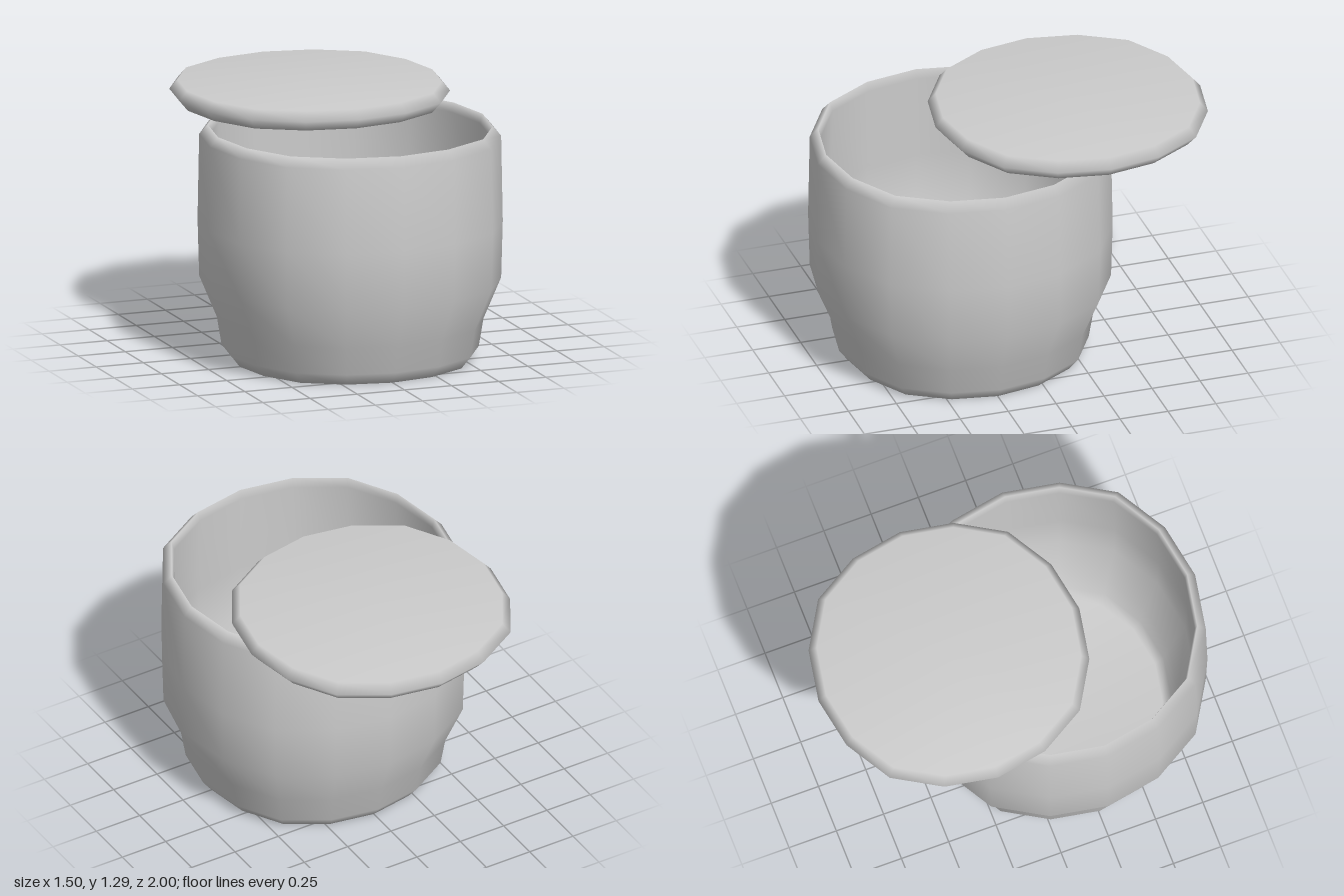
import * as THREE from 'three';
import { mergeVertices } from 'three/addons/utils/BufferGeometryUtils.js';

const SIDES = 16;

// Smooth 16-sided turned shape whose diagonal corners bulge slightly
function turned(name, profile, z) {
  let geo = new THREE.LatheGeometry(profile.map(([r, y]) => new THREE.Vector2(r, y)), SIDES);
  const pos = geo.attributes.position;
  for (let i = 0; i < pos.count; i++) {
    const x = pos.getX(i), pz = pos.getZ(i);
    const bulge = 1 + 0.03 * Math.sin(2 * Math.atan2(x, pz)) ** 4;
    pos.setX(i, x * bulge);
    pos.setZ(i, pz * bulge);
  }
  // Weld the seam so the shading stays continuous
  geo.deleteAttribute('uv');
  geo.deleteAttribute('normal');
  geo = mergeVertices(geo, 1e-4);
  geo.computeVertexNormals();
  const mesh = new THREE.Mesh(geo, new THREE.MeshStandardMaterial({ color: 0xcccccc }));
  mesh.name = name;
  mesh.position.z = z;
  return mesh;
}

export function createModel() {
  const model = new THREE.Group();
  model.name = 'jarWithLid';

  // Hollow pot: underside, outer wall, rim, inner wall, floor
  model.add(turned('pot', [
    [0, 0], [0.585, 0], [0.632, 0.06], [0.655, 0.2], [0.742, 0.41], [0.75, 0.7],
    [0.742, 1.13], [0.7, 1.178], [0.688, 1.13], [0.7, 0.7], [0.69, 0.42],
    [0.605, 0.21], [0.575, 0.09], [0.53, 0.05], [0, 0.05],
  ], 0.25));

  // Lid slid towards the back, resting on the rim
  model.add(turned('lid', [
    [0, 1.182], [0.645, 1.182], [0.69, 1.235], [0.65, 1.282], [0, 1.288],
  ], -0.31));

  return model;
}
